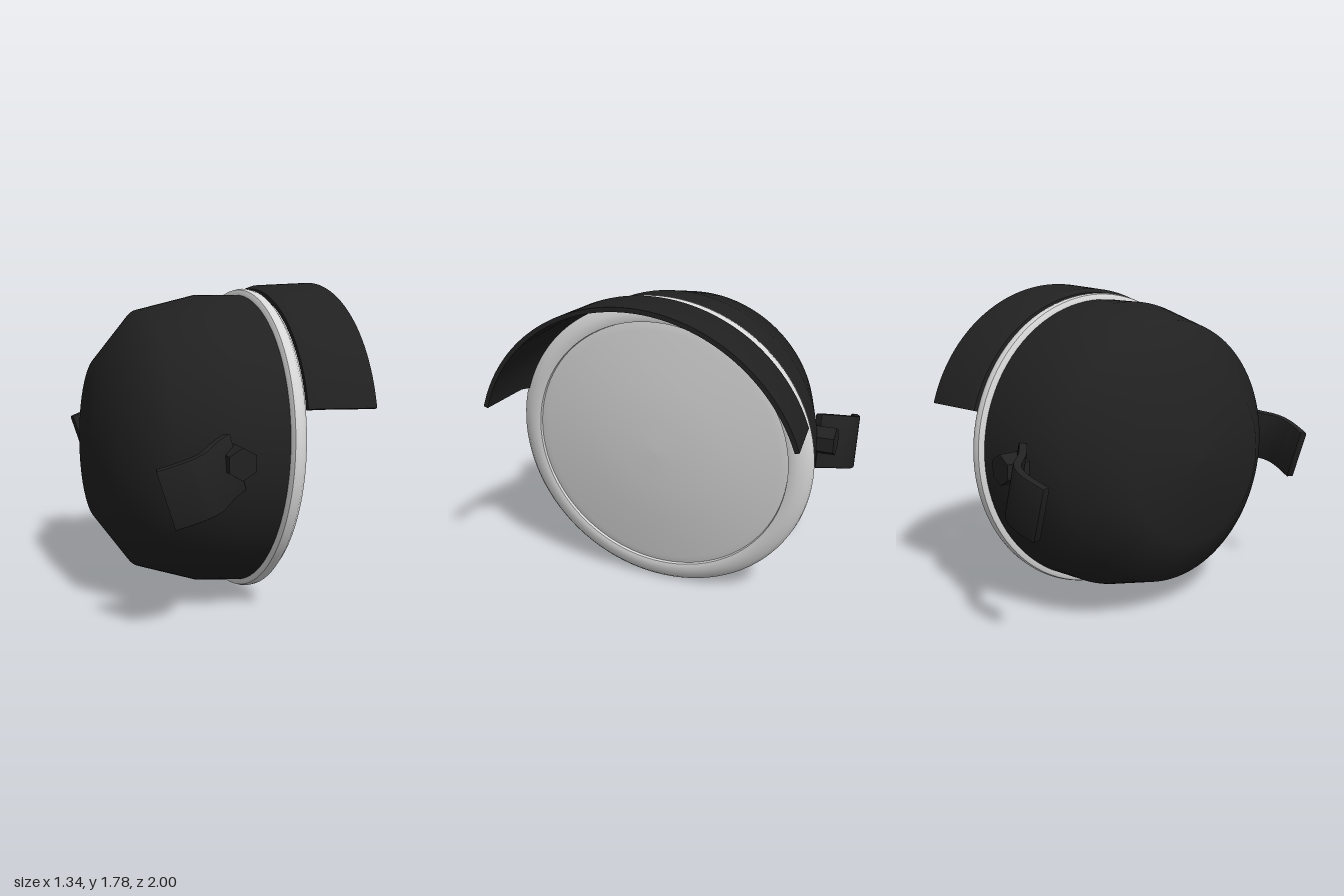
import * as THREE from 'three';
import { toCreasedNormals } from 'three/addons/utils/BufferGeometryUtils.js';

const rad = THREE.MathUtils.degToRad;

export function createModel() {
  const black = new THREE.MeshStandardMaterial({ color: 0x212121, side: THREE.DoubleSide });
  black.name = 'black housing';
  const silver = new THREE.MeshStandardMaterial({ color: 0xd8d8d8, side: THREE.DoubleSide });
  silver.name = 'silver rim';
  const glass = new THREE.MeshStandardMaterial({ color: 0xd0d0d0 });
  glass.name = 'pale lens';

  const model = new THREE.Group();
  model.name = 'headlamp';
  const add = (parent, name, geometry, material) => {
    const mesh = new THREE.Mesh(geometry, material);
    mesh.name = name;
    parent.add(mesh);
    return mesh;
  };
  const points = (list) => list.map(([r, x]) => new THREE.Vector2(r, x));
  // Profiles are [radius, distance along the lamp axis]; the axis becomes +x
  const turn = (profile, start = 0, length = Math.PI * 2) =>
    new THREE.LatheGeometry(points(profile), 96, start, length).rotateZ(-Math.PI / 2);

  // Lamp body, leaning slightly forward
  const lamp = new THREE.Group();
  lamp.name = 'lamp';
  lamp.position.set(0.167, 0.875, 0);
  lamp.rotation.z = -0.0506;
  model.add(lamp);

  add(lamp, 'bowl', turn([[0, -0.838], [0.455, -0.801], [0.726, -0.584], [0.823, -0.249], [0.836, 0.005]]), black);
  add(lamp, 'rim', toCreasedNormals(turn([
    [0.78, 0], [0.84, 0], [0.866, 0.012], [0.873, 0.035], [0.87, 0.06], [0.845, 0.085],
    [0.8, 0.104], [0.765, 0.108], [0.747, 0.104], [0.742, 0.08],
  ]), 0.7), silver);
  add(lamp, 'lens', turn([[0.744, 0.088], [0.7, 0.099], [0.41, 0.134], [0.2, 0.148], [0, 0.152]]), glass);

  // Flared visor over the upper part of the rim, with closed ends
  const visorProfile = [[0.85, 0.085], [0.875, 0.085], [0.899, 0.138], [0.929, 0.452], [0.904, 0.452], [0.874, 0.138], [0.85, 0.085]];
  const visor = new THREE.Group();
  visor.name = 'visor';
  lamp.add(visor);
  add(visor, 'visorShell', toCreasedNormals(turn(visorProfile, rad(198), rad(144)), 0.6), black);
  for (const phi of [198, 342]) {
    const cap = new THREE.ShapeGeometry(new THREE.Shape(points(visorProfile.slice(0, -1))));
    add(visor, 'visorEnd', cap.rotateY(rad(phi - 90)).rotateZ(-Math.PI / 2), black);
  }

  // Curved mounting bracket and hex bolt on each side
  const bend = new THREE.SplineCurve(points([[0.01, 0.945], [0.1, 0.968], [0.18, 0.975], [0.25, 0.95], [0.33, 0.87], [0.42, 0.81]]));
  for (const side of [1, -1]) {
    const mount = new THREE.Group();
    mount.name = side > 0 ? 'leftMount' : 'rightMount';
    model.add(mount);

    const outer = [], inner = [];
    for (let i = 0; i <= 16; i++) {
      const p = bend.getPoint(i / 16);
      const t = bend.getTangent(i / 16);
      const offset = new THREE.Vector2(-t.y, t.x).multiplyScalar(0.014);
      outer.push(p.clone().add(offset));
      inner.unshift(p.clone().sub(offset));
    }
    const outline = [...outer, ...inner].map((p) => new THREE.Vector2(p.x, p.y * side));
    const strap = new THREE.ExtrudeGeometry(new THREE.Shape(outline), {
      depth: 0.29, bevelEnabled: true, bevelThickness: 0.01, bevelSize: 0.008, bevelSegments: 2,
    });
    strap.translate(0, 0, 0.01).rotateX(Math.PI / 2).rotateZ(0.31);
    add(mount, 'bracket', toCreasedNormals(strap, 0.6), black).position.set(-0.58, 0.91, 0);

    const bolt = new THREE.CylinderGeometry(0.083, 0.083, 0.14, 6).rotateX(Math.PI / 2);
    add(mount, 'bolt', toCreasedNormals(bolt, 0.5), black).position.set(-0.127, 0.902, side * 0.85);
  }

  return model;
}
